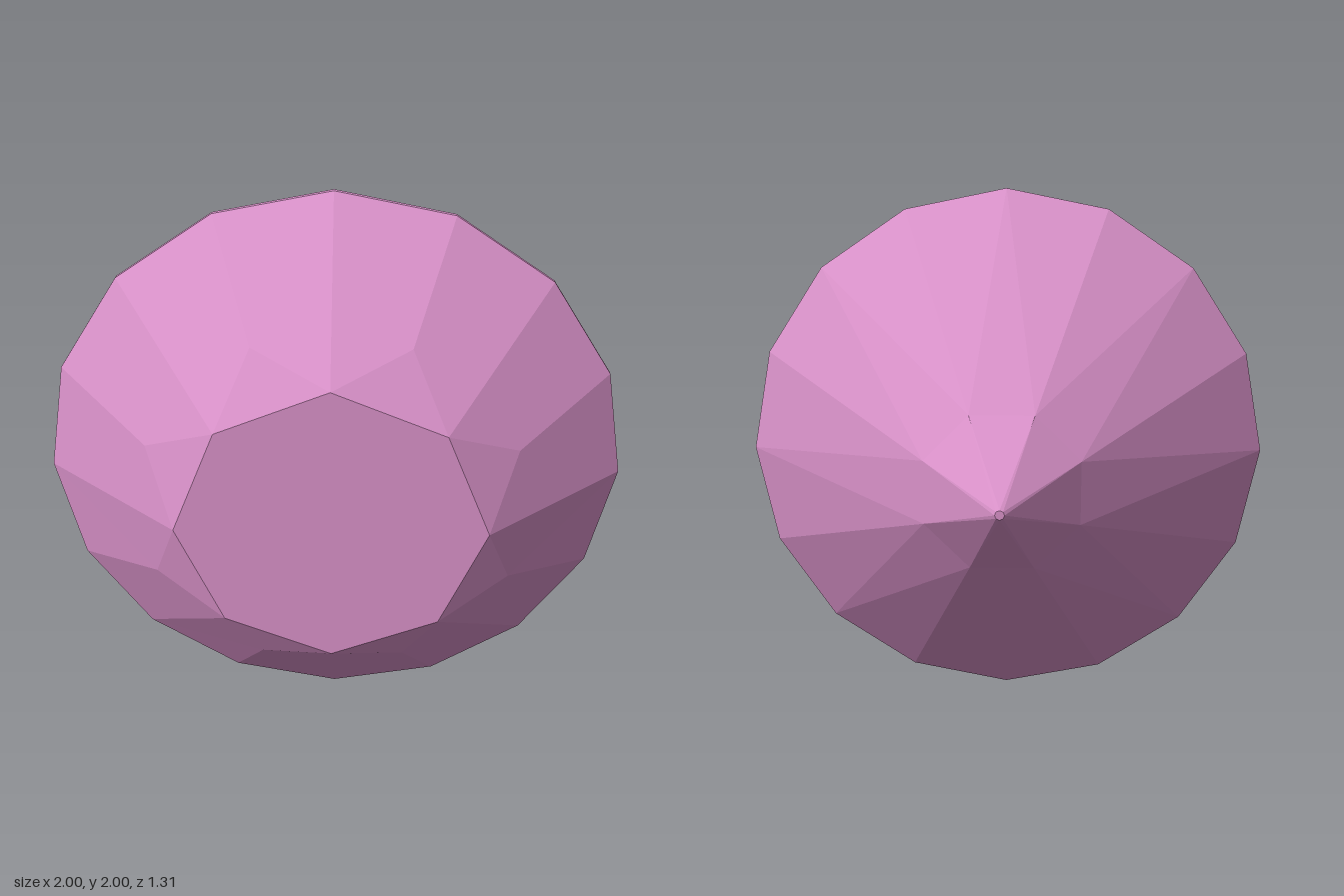
import * as THREE from 'three';

const SIDES = 16;
const material = new THREE.MeshStandardMaterial({ color: 0xda92ca, flatShading: true });

// Point at radius r, girdle step i (of 16) and depth z, around the stone's axis
function polar(r, i, z) {
  const a = (i / SIDES) * Math.PI * 2;
  return [r * Math.cos(a), 1 + r * Math.sin(a), z];
}

// Mesh from a list of triangles; flip reverses the winding for back-facing parts
function facetMesh(name, triangles, flip = false) {
  const points = triangles.flatMap(([a, b, c]) => (flip ? [a, c, b] : [a, b, c]));
  const geometry = new THREE.BufferGeometry();
  geometry.setAttribute('position', new THREE.Float32BufferAttribute(points.flat(), 3));
  geometry.computeVertexNormals();
  const mesh = new THREE.Mesh(geometry, material);
  mesh.name = name;
  return mesh;
}

// Eight-fold cut cone: an octagonal cap, a ring of middle points and the girdle edge
function cutFacets(cap, middle, girdle, ridged) {
  const triangles = [];
  for (let i = 0; i < SIDES; i += 2) {
    const c0 = polar(cap.r, i, cap.z);
    const c1 = polar(cap.r, i + 2, cap.z);
    const before = polar(middle.r, i - 1, middle.z);
    const after = polar(middle.r, i + 1, middle.z);
    const [g0, g1, g2] = [0, 1, 2].map((k) => polar(girdle.r, i + k, girdle.z));
    triangles.push([[0, 1, cap.z], c0, c1]); // cap
    triangles.push([c0, after, c1]); // star facet
    // kite facet, folded along or across its length
    if (ridged) triangles.push([c0, before, g0], [c0, g0, after]);
    else triangles.push([c0, before, after], [before, g0, after]);
    triangles.push([after, g0, g1], [after, g1, g2]); // girdle halves
  }
  return triangles;
}

export function createModel() {
  const gem = new THREE.Group();
  gem.name = 'gem';
  const front = { r: 1, z: 0.255 };
  const back = { r: 1, z: 0.238 };

  // Crown with its flat table
  gem.add(facetMesh('crown', cutFacets({ r: 0.51, z: 0.655 }, { r: 0.65, z: 0.54 }, front, true)));

  // Pavilion tapering to a tiny culet
  gem.add(facetMesh('pavilion', cutFacets({ r: 0.016, z: -0.655 }, { r: 0.29, z: -0.4 }, back, false), true));

  // Thin girdle band
  const band = [];
  for (let i = 0; i < SIDES; i++) {
    const [a, b] = [polar(1, i, back.z), polar(1, i + 1, back.z)];
    const [c, d] = [polar(1, i + 1, front.z), polar(1, i, front.z)];
    band.push([a, b, c], [a, c, d]);
  }
  gem.add(facetMesh('girdle', band));
  return gem;
}
